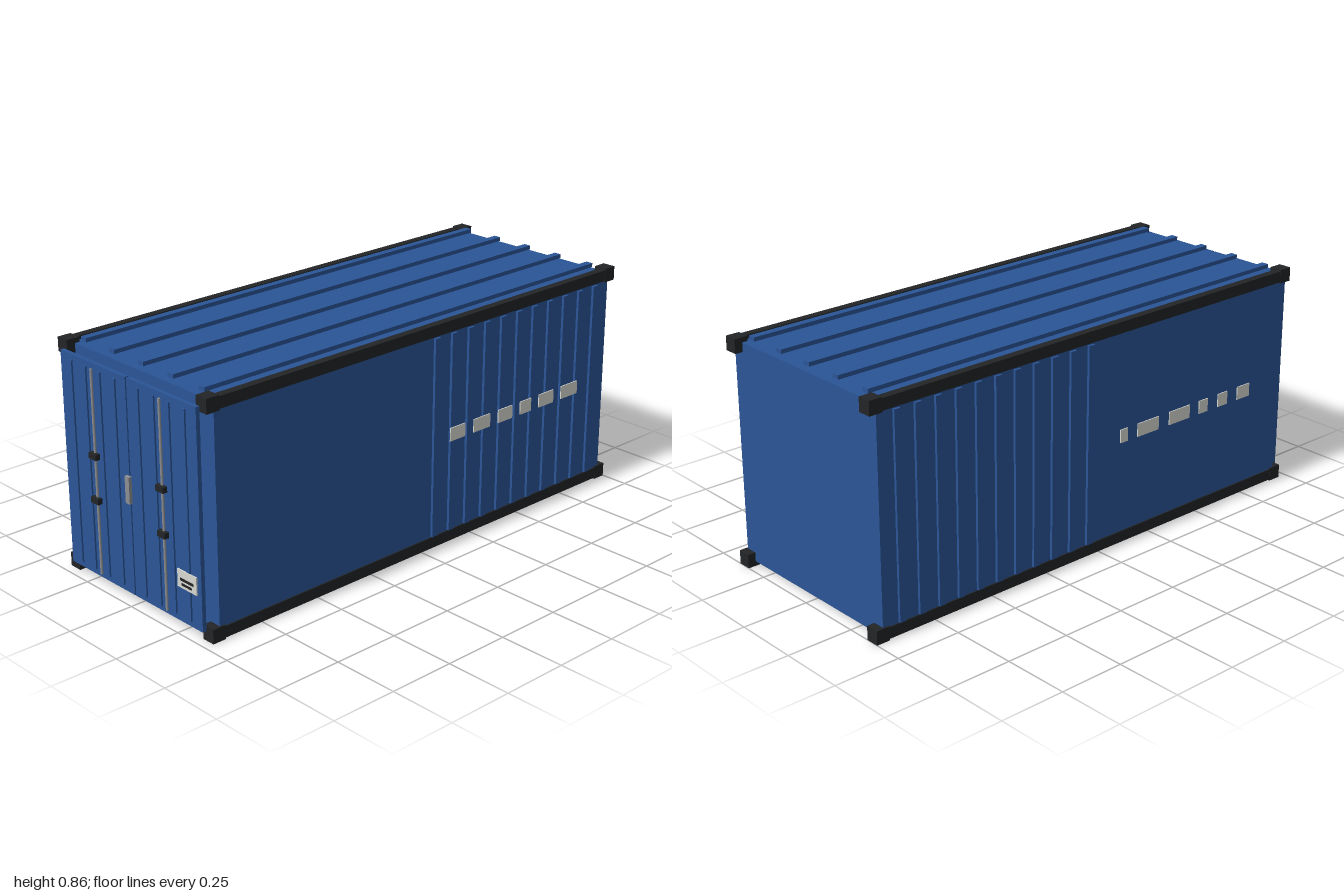
import * as THREE from 'three';

const paint = (color) => new THREE.MeshStandardMaterial({ color });

export function createModel() {
  const model = new THREE.Group();
  const blue = paint(0x2a5596), black = paint(0x222426), darkGrey = paint(0x3c3e42);
  const steel = paint(0x8c8f93), white = paint(0xd8d8d2);

  // Box given by its extents on each axis
  const box = (name, mat, [x0, x1], [y0, y1], [z0, z1]) => {
    const mesh = new THREE.Mesh(new THREE.BoxGeometry(x1 - x0, y1 - y0, z1 - z0), mat);
    mesh.position.set((x0 + x1) / 2, (y0 + y1) / 2, (z0 + z1) / 2);
    mesh.name = name;
    model.add(mesh);
    return mesh;
  };
  const around = (c, size) => [c - size / 2, c + size / 2];
  const mirrored = (side, a, b) => (side > 0 ? [a, b] : [-b, -a]);

  // Main body
  box('body', blue, [-0.385, 0.385], [0.018, 0.835], [-0.97, 0.932]);

  // Raised strips along the roof
  for (let i = -2; i <= 2; i++) {
    box('roofRib', blue, around(i * 0.155, 0.028), [0.845, 0.86], [-0.952, 0.917]);
  }

  // Beams under the floor
  for (const z of [-0.39, 0.39]) {
    box('floorBeam', darkGrey, [-0.327, 0.327], [0.002, 0.02], around(z, 0.04));
  }

  // Marking strips per side, as z extents
  const rightMarks = [[-0.19, -0.115], [-0.32, -0.235], [-0.438, -0.363],
    [-0.54, -0.481], [-0.664, -0.583], [-0.798, -0.707]];
  const leftMarks = [[0.08, 0.115], [0.165, 0.27], [0.325, 0.43],
    [0.48, 0.525], [0.58, 0.63], [0.685, 0.75]];

  for (const side of [1, -1]) {
    // Long rails and corner castings
    for (const y of [0.026, 0.827]) {
      box('rail', black, mirrored(side, 0.36, 0.39), around(y, 0.042), [-0.99, 0.955]);
      for (const z of [-0.974, 0.939]) {
        box('cornerCasting', black, mirrored(side, 0.34, 0.391), around(y, 0.052), around(z, 0.052));
      }
    }

    // Corrugation on the rear half of the wall
    for (let i = 0; i < 11; i++) {
      box('wallRib', blue, mirrored(side, 0.38, 0.395), [0.05, 0.8], around(-0.055 - i * 0.0838, 0.026));
    }

    for (const span of side > 0 ? rightMarks : leftMarks) {
      box('sideMarking', white, mirrored(side, 0.401, 0.405), [0.403, 0.453], span);
    }

    // Door leaf with ribs
    box('door', blue, mirrored(side, 0.003, 0.357), [0.035, 0.82], [0.965, 0.98]);
    for (const x of [0.062, 0.142, 0.22, 0.298]) {
      box('doorRib', blue, around(side * x, 0.015), [0.055, 0.8], [0.978, 0.986]);
    }

    // Locking rod and its brackets
    const rod = new THREE.Mesh(new THREE.CylinderGeometry(0.005, 0.005, 0.75, 8), steel);
    rod.name = 'lockRod';
    rod.position.set(side * 0.18, 0.426, 0.986);
    model.add(rod);
    for (const y of [0.33, 0.492]) {
      box('rodBracket', black, around(side * 0.18, 0.04), around(y, 0.021), [0.982, 1]);
    }
  }

  // Door handle
  box('handle', steel, [-0.011, 0.011], [0.378, 0.475], [0.982, 0.994]);

  // Plate with two dark bars
  box('plate', white, [0.245, 0.342], [0.166, 0.23], [0.984, 0.989]);
  box('plateBar', black, [0.26, 0.328], around(0.198, 0.009), [0.988, 0.991]);
  box('plateBar', black, [0.268, 0.318], around(0.181, 0.008), [0.988, 0.991]);

  return model;
}
